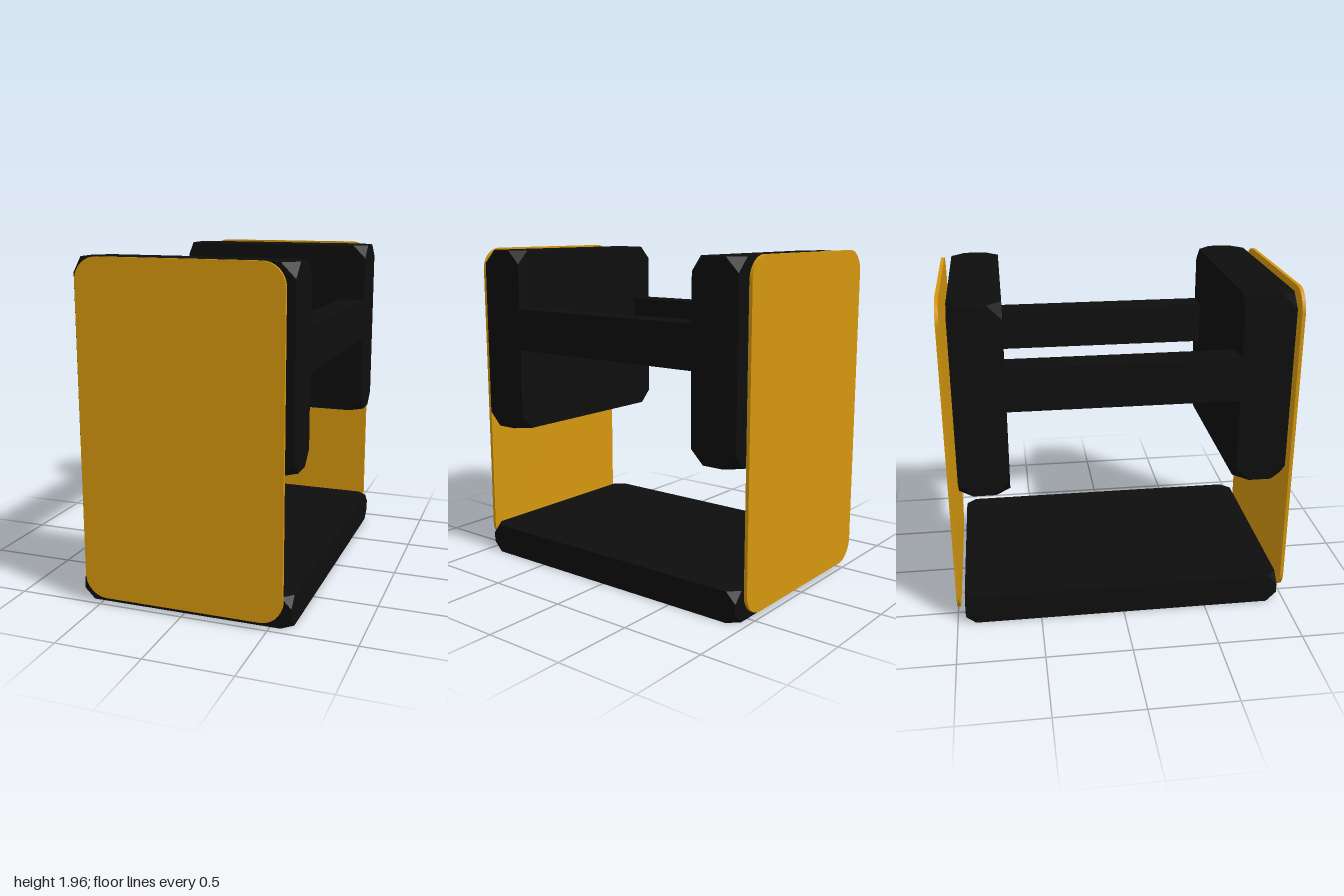
import * as THREE from 'three';
import { ConvexGeometry } from 'three/addons/geometries/ConvexGeometry.js';

const black = new THREE.MeshStandardMaterial({ color: 0x0e0e0e });
black.name = 'black';
const amber = new THREE.MeshStandardMaterial({ color: 0xd4970e });
amber.name = 'amber';

// Box whose eight corners are cut off at distance c along each edge
function cutCornerBox(w, h, d, c) {
  const half = [w / 2, h / 2, d / 2];
  const points = [];
  for (const sx of [-1, 1]) for (const sy of [-1, 1]) for (const sz of [-1, 1]) {
    for (let axis = 0; axis < 3; axis++) {
      const p = half.slice();
      p[axis] -= c;
      points.push(new THREE.Vector3(p[0] * sx, p[1] * sy, p[2] * sz));
    }
  }
  return new ConvexGeometry(points);
}

// Thin upright plate with rounded corners, centred on its origin
function roundedPlate(w, h, r, depth) {
  const x = w / 2, y = h / 2, q = Math.PI / 2;
  const shape = new THREE.Shape();
  shape.absarc(x - r, y - r, r, 0, q);
  shape.absarc(-x + r, y - r, r, q, 2 * q);
  shape.absarc(-x + r, -y + r, r, 2 * q, 3 * q);
  shape.absarc(x - r, -y + r, r, 3 * q, 4 * q);
  shape.closePath();
  const geo = new THREE.ExtrudeGeometry(shape, { depth, bevelEnabled: false, curveSegments: 10 });
  return geo.translate(0, 0, -depth / 2);
}

export function createModel() {
  const model = new THREE.Group();
  model.name = 'frame';
  const add = (name, geometry, material, x, y, z) => {
    const mesh = new THREE.Mesh(geometry, material);
    mesh.name = name;
    mesh.position.set(x, y, z);
    model.add(mesh);
  };

  // Floor slab
  add('base', cutCornerBox(1.24, 0.18, 1.9, 0.06), black, 0, 0.09, 0);

  // End blocks and the panels in front of them
  const block = cutCornerBox(1.24, 1.1, 0.29, 0.08);
  const panel = roundedPlate(1.17, 1.92, 0.13, 0.02);
  for (const [side, s] of [['front', 1], ['back', -1]]) {
    add(side + 'Block', block, black, 0, 1.4, s * 0.795);
    add(side + 'Panel', panel, amber, 0, 1, s * 0.99);
  }

  // Side rails joining the blocks
  const rail = new THREE.BoxGeometry(0.16, 0.25, 1.3);
  for (const [side, s] of [['left', 1], ['right', -1]]) {
    add(side + 'Rail', rail, black, s * 0.54, 1.475, 0);
  }
  return model;
}
